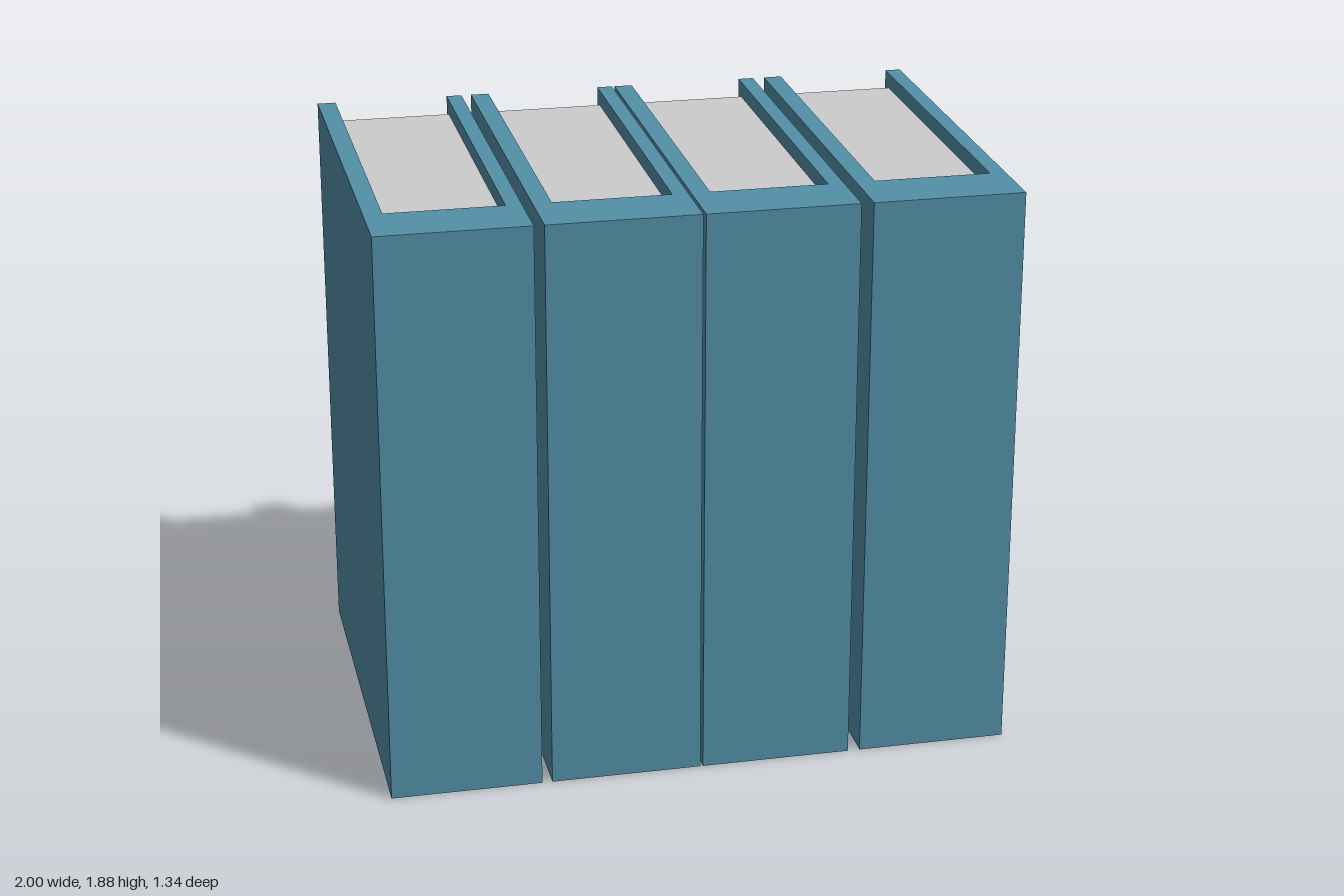
import * as THREE from 'three';

const WIDTH = 0.48, HEIGHT = 1.847, FRONT = 0.672, BACK = -0.672;
const LEFT_WALL = 0.059, RIGHT_WALL = 0.05, SPINE_Z = 0.472, RECESS = 0.05;

const coverMaterial = new THREE.MeshStandardMaterial({ color: 0x538fa7 });
const pageMaterial = new THREE.MeshStandardMaterial({ color: 0xcccccc });

// The books rise slightly towards the back
function slope(geometry) {
  const p = geometry.attributes.position;
  for (let i = 0; i < p.count; i++) {
    p.setY(i, p.getY(i) + 0.03 * (FRONT - p.getZ(i)) / (FRONT - BACK));
  }
  geometry.computeVertexNormals();
  return geometry;
}

// U-shaped plan (two boards and the spine) raised to full height
function coverGeometry() {
  const w = WIDTH / 2;
  const plan = new THREE.Shape([
    [-w, -FRONT], [w, -FRONT], [w, -BACK], [w - RIGHT_WALL, -BACK],
    [w - RIGHT_WALL, -SPINE_Z], [-w + LEFT_WALL, -SPINE_Z],
    [-w + LEFT_WALL, -BACK], [-w, -BACK],
  ].map(([x, y]) => new THREE.Vector2(x, y)));
  const g = new THREE.ExtrudeGeometry(plan, { depth: HEIGHT, bevelEnabled: false });
  return slope(g.rotateX(-Math.PI / 2));
}

// Block filling the space between the boards
function innerBlock(bottom, top) {
  const backZ = -0.632;
  const g = new THREE.BoxGeometry(WIDTH - LEFT_WALL - RIGHT_WALL, top - bottom, SPINE_Z - backZ);
  g.translate((LEFT_WALL - RIGHT_WALL) / 2, (top + bottom) / 2, (SPINE_Z + backZ) / 2);
  return slope(g);
}

export function createModel() {
  const model = new THREE.Group();
  model.name = 'bookRow';

  const parts = [
    ['cover', coverGeometry(), coverMaterial],
    ['pages', innerBlock(RECESS + 0.004, HEIGHT - RECESS), pageMaterial],
    ['pageBase', innerBlock(RECESS, RECESS + 0.004), coverMaterial],
  ];

  // Four books side by side with uneven gaps
  [-0.76, -0.248, 0.241, 0.76].forEach((x, i) => {
    const book = new THREE.Group();
    book.name = `book${i + 1}`;
    for (const [name, geometry, material] of parts) {
      const mesh = new THREE.Mesh(geometry, material);
      mesh.name = name;
      book.add(mesh);
    }
    book.position.x = x;
    model.add(book);
  });
  return model;
}
